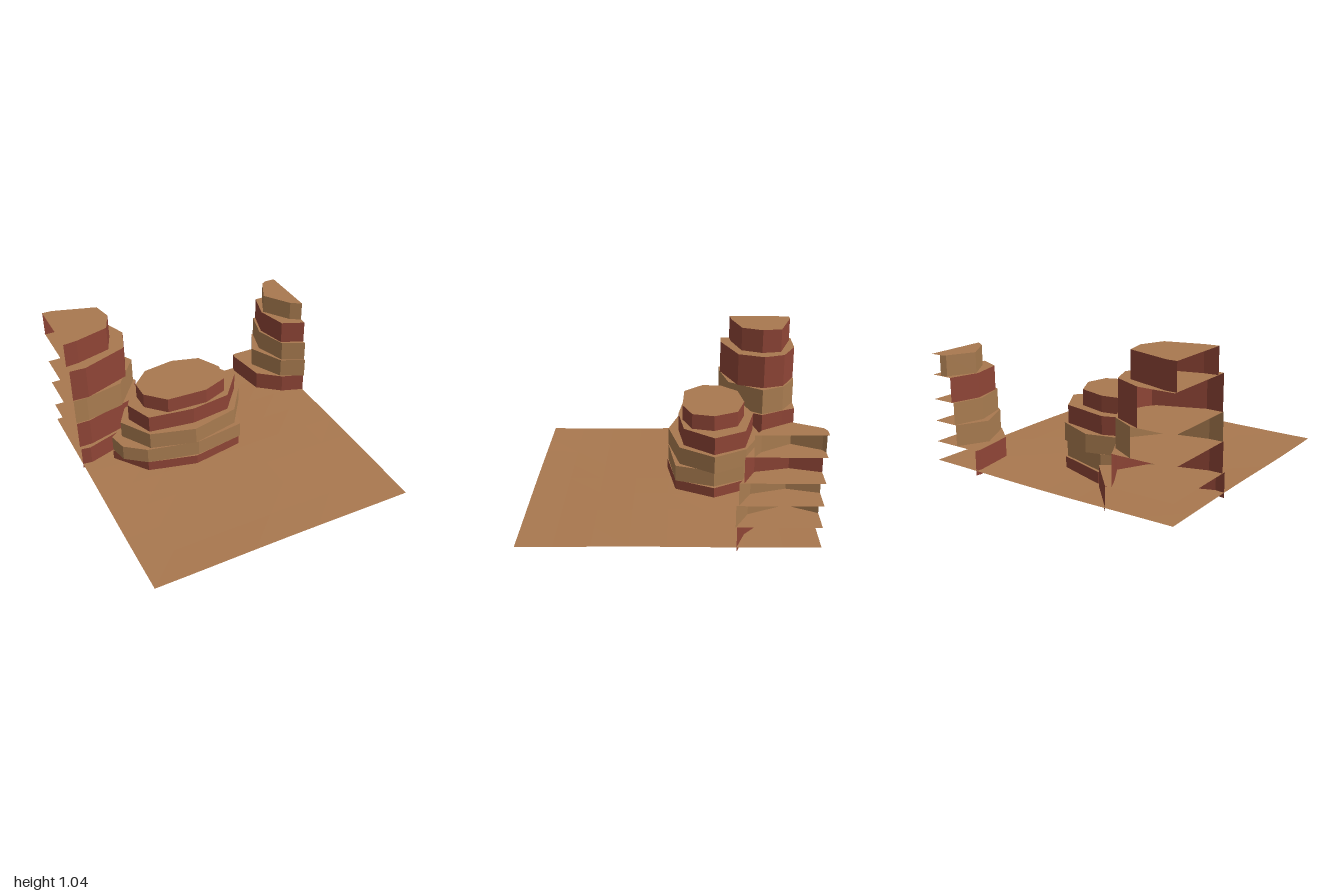
import * as THREE from 'three';

const mat = (name, color) => new THREE.MeshStandardMaterial({ name, color, flatShading: true, side: THREE.DoubleSide });

// Both points on the same border of the tile: the rock is cut open there
const onBorder = (a, b) => [0, 1].some(k => Math.abs(a[k]) === 1 && a[k] === b[k]);

function geometryFrom(pos) {
  const g = new THREE.BufferGeometry();
  g.setAttribute('position', new THREE.Float32BufferAttribute(pos, 3));
  g.computeVertexNormals();
  return g;
}

// One rock layer: upright walls around an outline of [x, z] points, and a flat ledge on top
function stratum(name, outline, y0, y1, wallMat, ledgeMat) {
  const walls = [], ledge = [], n = outline.length;
  const cx = outline.reduce((s, p) => s + p[0], 0) / n;
  const cz = outline.reduce((s, p) => s + p[1], 0) / n;
  outline.forEach((a, i) => {
    const b = outline[(i + 1) % n];
    ledge.push(cx, y1, cz, b[0], y1, b[1], a[0], y1, a[1]);
    if (onBorder(a, b)) return;
    walls.push(a[0], y0, a[1], a[0], y1, a[1], b[0], y1, b[1]);
    walls.push(a[0], y0, a[1], b[0], y1, b[1], b[0], y0, b[1]);
  });
  const group = new THREE.Group();
  group.name = name;
  const wall = new THREE.Mesh(geometryFrom(walls), wallMat);
  wall.name = name + 'Wall';
  const top = new THREE.Mesh(geometryFrom(ledge), ledgeMat);
  top.name = name + 'Ledge';
  group.add(wall, top);
  return group;
}

export function createModel() {
  const sand = mat('sand', 0xa9784f);
  const red = mat('red rock', 0x8f4536);
  const tan = mat('tan rock', 0xa97c50);
  const model = new THREE.Group();
  model.name = 'desertTile';

  // Gently uneven ground
  const groundGeo = new THREE.PlaneGeometry(2, 2, 8, 8).rotateX(-Math.PI / 2);
  const p = groundGeo.attributes.position;
  for (let i = 0; i < p.count; i++) {
    const x = p.getX(i), z = p.getZ(i);
    p.setY(i, 0.033 + 0.004 * Math.sin(3 * x + 1.5 * z) + 0.003 * Math.cos(4 * z - x));
  }
  groundGeo.computeVertexNormals();
  const ground = new THREE.Mesh(groundGeo, sand);
  ground.name = 'ground';
  model.add(ground);

  // Layers from bottom to top: [top height, wall colour, outline]
  const mesas = {
    // Tall mesa cut by the back right corner
    tallMesa: [
      [0.18, red, [[-0.5, -1], [-0.25, -0.73], [-0.36, -0.65], [-0.6, -0.47], [-0.93, -0.36], [-1, -0.37], [-1, -1]]],
      [0.4, red, [[-0.55, -1], [-0.5, -0.9], [-0.4, -0.73], [-0.52, -0.51], [-0.9, -0.4], [-1, -0.4], [-1, -1]]],
      [0.6, tan, [[-0.69, -1], [-0.51, -0.9], [-0.42, -0.73], [-0.615, -0.47], [-0.9, -0.41], [-1, -0.41], [-1, -1]]],
      [0.855, red, [[-0.74, -1], [-0.53, -0.9], [-0.47, -0.74], [-0.545, -0.54], [-0.88, -0.415], [-1, -0.42], [-1, -1]]],
      [1.04, red, [[-0.61, -0.88], [-0.58, -0.73], [-0.65, -0.57], [-0.9, -0.5], [-1, -0.49], [-1, -0.98], [-0.93, -0.98]]],
    ],
    // Broad butte in the middle
    butte: [
      [0.11, red, [[0.305, -0.33], [0.17, -0.05], [-0.22, 0.015], [-0.58, -0.08], [-0.765, -0.33], [-0.7, -0.46],
        [-0.42, -0.61], [-0.21, -0.69], [0.16, -0.57]]],
      [0.23, tan, [[0.275, -0.33], [0.18, -0.05], [-0.2, 0.005], [-0.58, -0.08], [-0.73, -0.2], [-0.76, -0.34],
        [-0.44, -0.57], [-0.22, -0.67], [0.16, -0.55]]],
      [0.36, tan, [[0.315, -0.33], [0.145, -0.08], [-0.22, 0.005], [-0.55, -0.09], [-0.69, -0.32], [-0.6, -0.47],
        [-0.35, -0.63], [-0.11, -0.69], [0.17, -0.565]]],
      [0.49, red, [[0.275, -0.33], [0.1, -0.11], [-0.2, -0.07], [-0.54, -0.12], [-0.62, -0.33], [-0.5, -0.54],
        [-0.21, -0.64], [0.14, -0.56]]],
      [0.605, red, [[0.14, -0.33], [0.1, -0.17], [-0.08, -0.1], [-0.385, -0.115], [-0.52, -0.255], [-0.52, -0.4],
        [-0.39, -0.53], [-0.155, -0.565], [0.05, -0.505]]],
    ],
    // Slim mesa cut by the back left corner
    slimMesa: [
      [0.18, red, [[1, -0.45], [0.83, -0.51], [0.66, -0.65], [0.61, -0.96], [0.62, -1], [1, -1]]],
      [0.335, tan, [[1, -0.44], [0.82, -0.53], [0.69, -0.79], [0.8, -1], [1, -1]]],
      [0.495, tan, [[1, -0.455], [0.83, -0.54], [0.75, -0.78], [0.81, -1], [1, -1]]],
      [0.675, red, [[1, -0.485], [0.83, -0.56], [0.77, -0.79], [0.83, -1], [1, -1]]],
      [0.825, tan, [[1, -0.54], [0.92, -0.59], [0.785, -0.79], [0.88, -0.98], [0.92, -1], [1, -1]]],
    ],
  };
  for (const [name, layers] of Object.entries(mesas)) {
    const mesa = new THREE.Group();
    mesa.name = name;
    let y = 0;
    layers.forEach(([top, wall, outline], i) => {
      mesa.add(stratum(`${name}Layer${i + 1}`, outline, y, top, wall, sand));
      y = top;
    });
    model.add(mesa);
  }
  return model;
}
